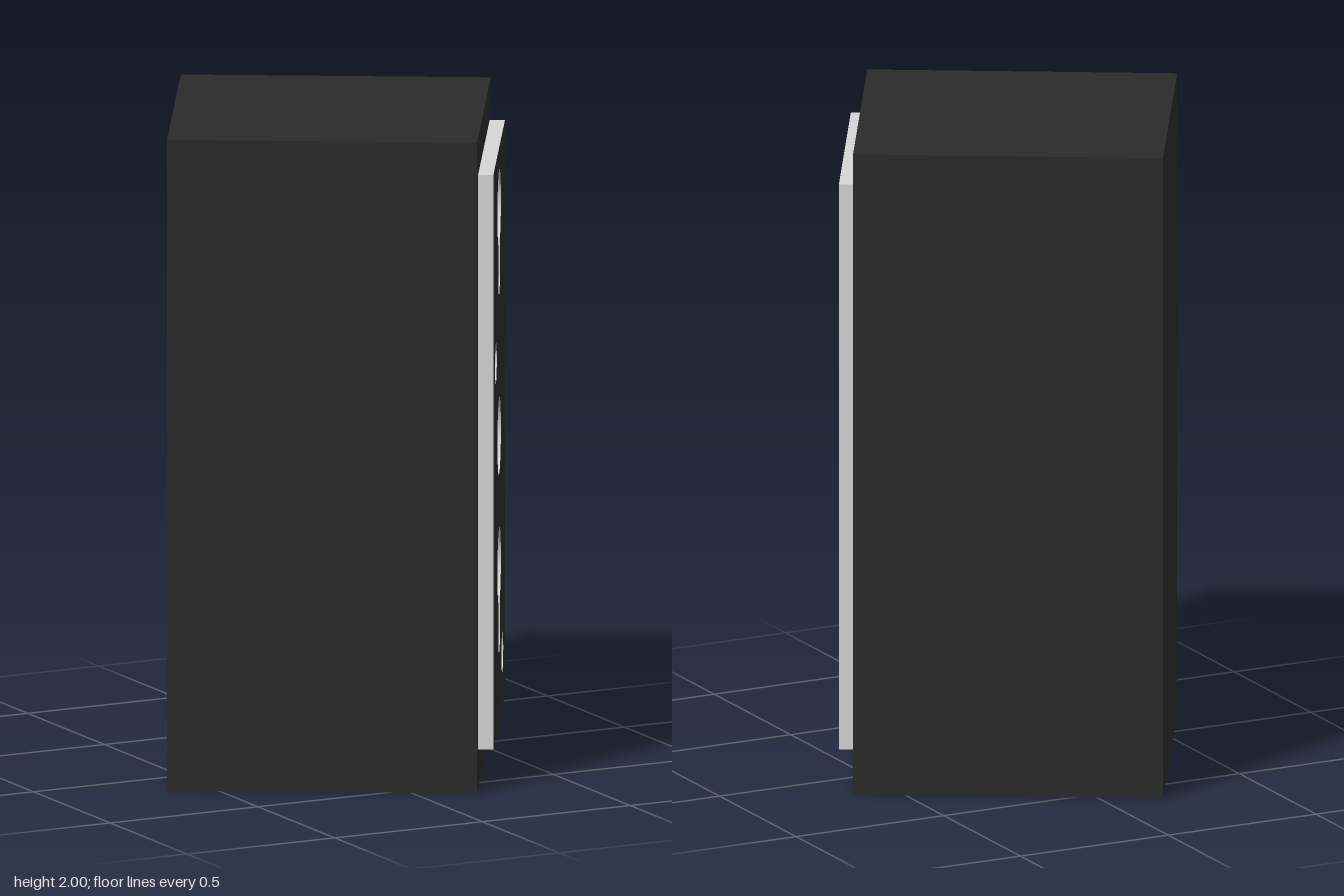
import * as THREE from 'three';

const black = new THREE.MeshStandardMaterial({ color: 0x2b2b2b });
black.name = 'satin black';
const pale = new THREE.MeshStandardMaterial({ color: 0xd6d6d6 });
pale.name = 'pale grey';
const steel = new THREE.MeshStandardMaterial({ color: 0x9a9a9a });
steel.name = 'steel grey';

const HALF = 0.466, WALL = 0.03, CAP = 0.03, H = 2;

function add(parent, name, geometry, material, x = 0, y = 0, z = 0) {
  const mesh = new THREE.Mesh(geometry, material);
  mesh.name = name;
  mesh.position.set(x, y, z);
  parent.add(mesh);
  return mesh;
}

function rect(x0, y0, x1, y1) {
  return new THREE.Shape([[x0, y0], [x1, y0], [x1, y1], [x0, y1]].map(p => new THREE.Vector2(...p)));
}

function disc(x, y, r) {
  return new THREE.Shape().absarc(x, y, r, 0, Math.PI * 2, false);
}

// Round opening with a narrow slot below it
function keyhole(y, r = 0.118, w = 0.057, drop = 0.21) {
  const a = Math.asin(w / r);
  const s = new THREE.Shape();
  s.absarc(0, y, r, -Math.PI / 2 + a, Math.PI * 1.5 - a, false);
  s.lineTo(-w, y - drop);
  s.absarc(0, y - drop, w, Math.PI, Math.PI * 2, false);
  s.closePath();
  return s;
}

// Upright sheet facing +x, from x to x + depth
function sheet(parent, name, shape, holes, x, depth, material) {
  shape.holes.push(...holes);
  const g = new THREE.ExtrudeGeometry(shape, { depth, bevelEnabled: false, curveSegments: 32 });
  g.rotateY(Math.PI / 2);
  return add(parent, name, g, material, x);
}

// Flat square frame lying level
function frame(parent, name, outer, inner, y, depth) {
  const s = rect(-outer, -outer, outer, outer);
  s.holes.push(rect(-inner, -inner, inner, inner));
  const g = new THREE.ExtrudeGeometry(s, { depth, bevelEnabled: false });
  g.rotateX(-Math.PI / 2);
  add(parent, name, g, black, 0, y);
}

// Inward-facing loft from a square opening to a round lamp seat
function reflectorGeometry(half, r, y0, y1, n = 64, rows = 10) {
  const pos = [], idx = [];
  for (let j = 0; j <= rows; j++) {
    const k = j / rows;
    const swell = Math.sin(k * Math.PI / 2);
    for (let i = 0; i <= n; i++) {
      const u = i / n * Math.PI * 2 + Math.PI / 4;
      const c = Math.cos(u), s = Math.sin(u);
      const sq = half / Math.max(Math.abs(c), Math.abs(s));
      const rad = THREE.MathUtils.lerp(sq, r, k);
      pos.push(c * rad, y0 + (y1 - y0) * swell, s * rad);
      if (j < rows && i < n) {
        const a = j * (n + 1) + i, b = a + 1, d = a + n + 1;
        idx.push(a, b, d, b, d + 1, d);
      }
    }
  }
  const g = new THREE.BufferGeometry();
  g.setAttribute('position', new THREE.Float32BufferAttribute(pos, 3));
  g.setIndex(idx);
  g.computeVertexNormals();
  return g;
}

export function createModel() {
  const group = new THREE.Group();
  const lamp = new THREE.Group();
  lamp.name = 'wallLamp';
  lamp.rotation.y = -Math.PI / 6;
  group.add(lamp);

  // Housing: lid, three plain walls and the drilled mounting wall
  const wallH = H - CAP, inner = HALF - WALL;
  add(lamp, 'lid', new THREE.BoxGeometry(HALF * 2, CAP, HALF * 2), black, 0, H - CAP / 2);
  add(lamp, 'frontWall', new THREE.BoxGeometry(WALL, wallH, HALF * 2), black, -HALF + WALL / 2, wallH / 2);
  for (const s of [-1, 1]) {
    add(lamp, 'sideWall', new THREE.BoxGeometry(inner * 2, wallH, WALL), black, 0, wallH / 2, s * (HALF - WALL / 2));
  }
  sheet(lamp, 'mountingWall', rect(-HALF, 0, HALF, wallH),
    [disc(0, 1.5, 0.04), disc(0, 1, 0.112), disc(0, 0.39, 0.04)], inner, WALL, black);

  // Mounting plate: black faces, pale cut edges
  sheet(lamp, 'mountingPlate', rect(-0.394, 0.12, 0.394, 1.885),
    [keyhole(1.7), keyhole(0.6), disc(0, 1, 0.118), disc(-0.22, 1.27, 0.062), disc(0.215, 0.29, 0.062)],
    HALF, 0.046, [black, pale]);

  // Cable entry behind the middle hole
  sheet(lamp, 'cableSleeve', disc(0, 1, 0.118), [disc(0, 1, 0.098)], 0.36, inner - 0.36, pale);
  sheet(lamp, 'cableSleeveFloor', disc(0, 1, 0.118), [], 0.35, 0.01, black);
  sheet(lamp, 'cableGland', disc(0.045, 1, 0.05), [], 0.36, 0.006, pale);
  sheet(lamp, 'lowerPlug', disc(0, 0.39, 0.05), [], inner - 0.01, 0.01, pale);

  // Cross-head screw in the upper keyhole
  const screw = new THREE.Group();
  screw.name = 'screw';
  screw.position.set(HALF, 1.77, 0);
  lamp.add(screw);
  add(screw, 'screwHead', new THREE.CylinderGeometry(0.045, 0.055, 0.02, 24).rotateZ(-Math.PI / 2), pale, 0.01);
  add(screw, 'crossSlotUpright', new THREE.BoxGeometry(0.004, 0.07, 0.016), steel, 0.02);
  add(screw, 'crossSlotLevel', new THREE.BoxGeometry(0.004, 0.016, 0.07), steel, 0.02);

  // Recessed light opening underneath
  frame(lamp, 'outerFrame', inner, 0.35, 0.055, 0.03);
  frame(lamp, 'innerFrame', 0.37, 0.32, 0.085, 0.02);
  add(lamp, 'reflector', reflectorGeometry(0.32, 0.14, 0.1, 0.28), black);
  add(lamp, 'bulb', new THREE.CylinderGeometry(0.145, 0.13, 0.03, 48), pale, 0, 0.285);

  return group;
}
